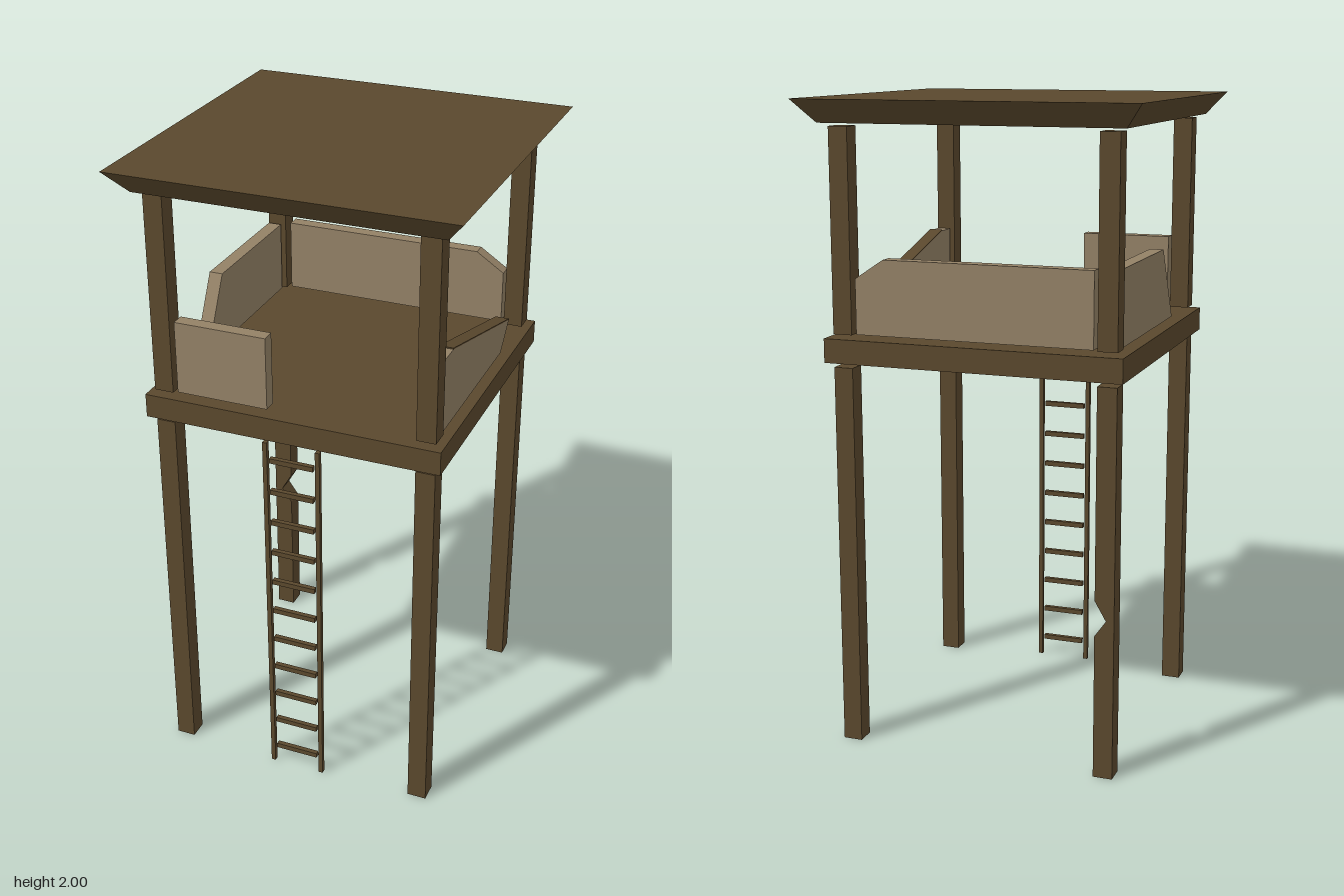
import * as THREE from 'three';

export function createModel() {
  const model = new THREE.Group();
  model.name = 'watchtower';
  const wood = new THREE.MeshStandardMaterial({ name: 'darkWood', color: 0x5a482d, flatShading: true });
  const plank = new THREE.MeshStandardMaterial({ name: 'paleWood', color: 0x938166, flatShading: true });

  const add = (name, geometry, material, parent = model) => {
    const mesh = new THREE.Mesh(geometry, material);
    mesh.name = name;
    parent.add(mesh);
    return mesh;
  };
  // Box given by its lower and upper limits
  const box = (name, [x0, x1], [y0, y1], [z0, z1], parent) =>
    add(name, new THREE.BoxGeometry(x1 - x0, y1 - y0, z1 - z0)
      .translate((x0 + x1) / 2, (y0 + y1) / 2, (z0 + z1) / 2), wood, parent);
  // Upright outline extruded symmetrically about its own plane
  const slab = (points, depth) => new THREE.ExtrudeGeometry(
    new THREE.Shape(points.map(([u, v]) => new THREE.Vector2(u, v))),
    { depth, bevelEnabled: false }).translate(0, 0, -depth / 2);

  // Roof: slab flaring outward to the top
  const roof = new THREE.CylinderGeometry(0.525 * Math.SQRT2, 0.467 * Math.SQRT2, 0.07, 4);
  add('roof', roof.rotateY(Math.PI / 4).translate(0, 1.965, 0), wood);

  // Platform
  box('platform', [-0.465, 0.465], [1.22, 1.294], [-0.465, 0.465]);

  // Legs below and posts above the platform
  const half = 0.03, c = 0.413;
  for (const sx of [-1, 1]) for (const sz of [-1, 1]) {
    const x = [sx * c - half, sx * c + half], z = [sz * c - half, sz * c + half];
    box('roofPost', x, [1.305, 1.92], z);
    if (sx < 0 && sz < 0) {
      // Back leg with a chopped notch on its inner face
      const leg = slab([[-half, 0], [half, 0], [half, 0.45], [-0.005, 0.5], [half, 0.56],
        [half, 1.204], [-half, 1.204]], half * 2);
      add('notchedLeg', leg.translate(-c, 0, -c), wood);
    } else box('leg', x, [0, 1.204], z);
  }

  // Parapet walls: outlines run along x (front, back) or z (sides)
  const thick = 0.043, wallAt = 0.416, low = 1.307, top = 1.535;
  const wall = (name, points, side, axis, material = plank) => {
    const g = slab(points, thick);
    if (axis === 'x') g.rotateY(-Math.PI / 2).translate(side * wallAt, 0, 0);
    else g.translate(0, 0, side * wallAt);
    add(name, g, material);
  };
  wall('frontWall', [[-0.37, low], [-0.08, low], [-0.08, top], [-0.37, top]], 1, 'z');
  wall('backWall', [[-0.37, low], [0.37, low], [0.37, 1.475], [0.28, top], [-0.37, top]], -1, 'z');
  wall('leftWall', [[0.37, low], [0.37, top], [0.3, top], [-0.25, 1.387], [-0.175, low]], 1, 'x');
  wall('rightWall', [[-0.37, low], [0.19, low], [0.07, top], [-0.37, top]], -1, 'x');
  // Dark cut edge along the sloping wall
  wall('leftWallCut', [[0.3, top], [-0.25, 1.387], [-0.25, 1.391], [0.3, top + 0.004]], 1, 'x', wood);

  // Ladder
  const ladder = new THREE.Group();
  ladder.name = 'ladder';
  model.add(ladder);
  const depth = [0.439, 0.454];
  for (const s of [-1, 1]) box('ladderRail', [s * 0.084 - 0.007, s * 0.084 + 0.007], [0, 1.204], depth, ladder);
  for (let i = 0; i < 11; i++) {
    const y = 0.065 + i * 0.108;
    box('rung', [-0.07, 0.07], [y - 0.008, y + 0.008], depth, ladder);
  }
  return model;
}
